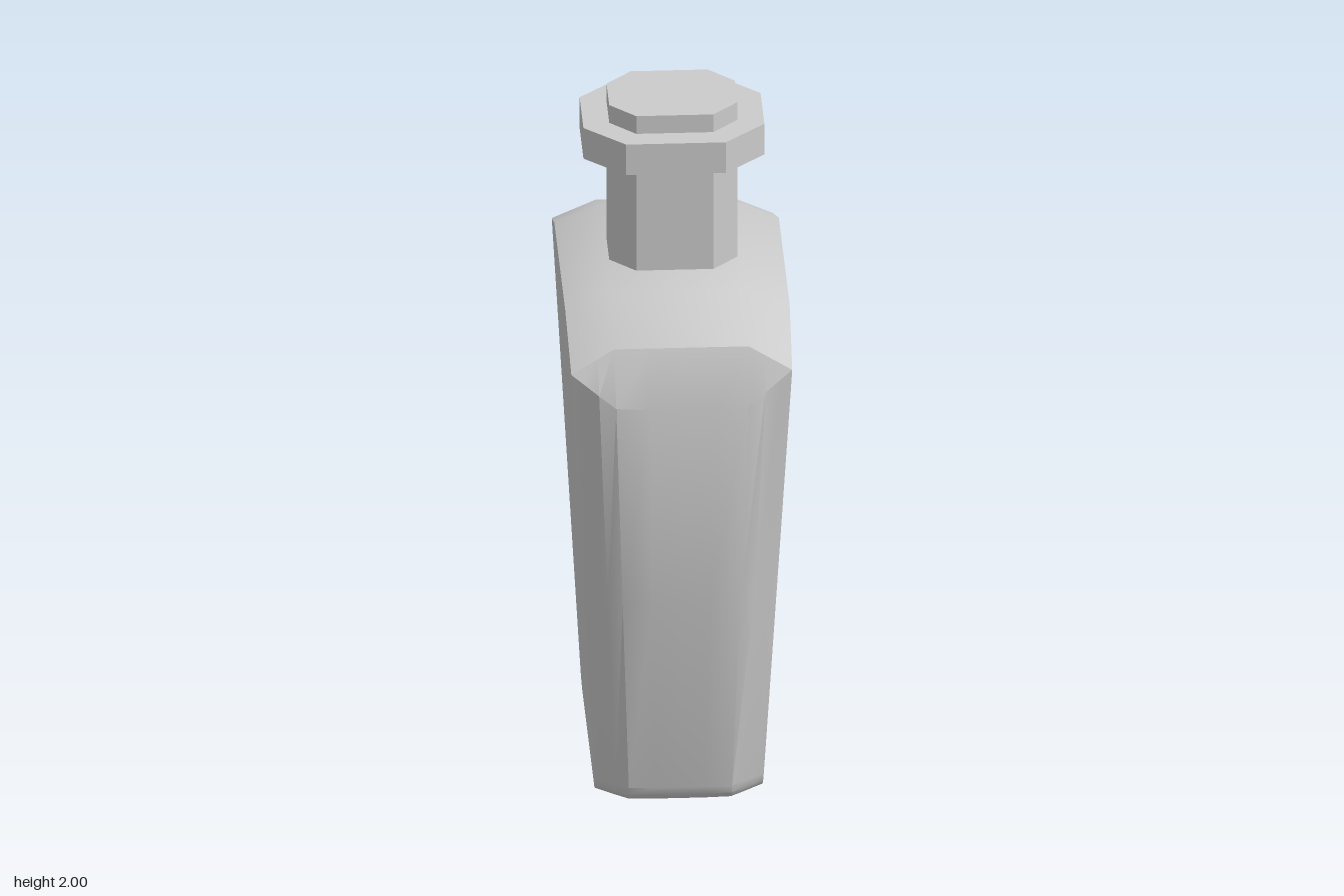
import * as THREE from 'three';
import { toCreasedNormals } from 'three/addons/utils/BufferGeometryUtils.js';

const material = new THREE.MeshStandardMaterial({ color: 0xcccccc });

// Half of an end's cross-section: share of the half width, and how far it bulges there
const SPREAD = [1, 0.9, 0.76, 0.61, 0.3, 0];
const BULGE = [0, 0.25, 0.6, 0.95, 1, 1];

// Full loop around the body; pointAt(spread, bulge) gives [x, y, z] on the +x, +z quarter
function ring(pointAt) {
  const half = SPREAD.map((s, i) => pointAt(s, BULGE[i]));
  const other = half.slice(0, -1).reverse().map(([x, y, z]) => [-x, y, z]);
  const end = [...half, ...other];
  return [...end, ...end.map(([x, y, z]) => [-x, y, -z])];
}

function bodyGeometry() {
  const pos = [];
  const tri = (a, b, c) => pos.push(...a, ...b, ...c);
  const quad = (a, b, c, d) => { tri(a, b, c); tri(a, c, d); };

  // Tapered walls: the ends are rounded under at the base
  const wall = (y, bulge, tuck) => {
    const t = y / 1.375;
    return [s => s * (0.235 + 0.075 * t), 0.36 + 0.15 * t - tuck + (0.08 - 0.03 * t) * bulge];
  };
  const level = (y, tuck) => ring((s, b) => {
    const [x, z] = wall(y, b, tuck);
    return [x(s), y, z];
  });
  const rings = [level(0, 0.04), level(0.012, 0.018), level(0.03, 0.005), level(0.055, 0), level(0.65, 0)];

  // Lower and upper borders of the sloping facet over each end
  rings.push(ring((s, b) => {
    const y = 1.375 - 0.095 * b;
    const [x, z] = wall(y, b, 0);
    return [x(s), y, z];
  }));
  rings.push(ring(s => {
    const k = Math.min(1, (1 - s) / 0.39);
    return [0.31 * s, 1.375 + 0.065 * k, 0.51 - 0.024 * k];
  }));

  const n = rings[0].length;
  for (let i = 0; i < n; i++) {
    const j = (i + 1) % n;
    tri([0, 0, 0], rings[0][i], rings[0][j]);
    for (let r = 0; r < rings.length - 1; r++) {
      quad(rings[r][j], rings[r][i], rings[r + 1][i], rings[r + 1][j]);
    }
  }

  // Shoulder: bevelled plateau sloping down to both ends
  const row = (outer, inner) => [outer, inner, [-inner[0], inner[1], inner[2]], [-outer[0], outer[1], outer[2]]];
  const back = r => r.map(([x, y, z]) => [x, y, -z]);
  const low = row([0.31, 1.375, 0.51], [0.189, 1.44, 0.486]);
  const high = row([0.315, 1.47, 0.28], [0.19, 1.52, 0.29]);
  const rows = [low, high, back(high), back(low)];
  for (let i = 0; i < 3; i++) {
    for (let j = 0; j < 3; j++) quad(rows[i][j], rows[i + 1][j], rows[i + 1][j + 1], rows[i][j + 1]);
  }
  // Upper part of the two broad faces
  quad(rows[3][0], rows[2][0], rows[1][0], rows[0][0]);
  quad(rows[0][3], rows[1][3], rows[2][3], rows[3][3]);

  const geo = new THREE.BufferGeometry();
  geo.setAttribute('position', new THREE.Float32BufferAttribute(pos, 3));
  return toCreasedNormals(geo, 0.6);
}

// Upright eight-sided block with corners (a, b) and (c, d) mirrored all round
function octagon(a, b, c, d, y0, y1) {
  const corners = [[a, b], [c, d], [-c, d], [-a, b], [-a, -b], [-c, -d], [c, -d], [a, -b]];
  const shape = new THREE.Shape(corners.map(([x, y]) => new THREE.Vector2(x, y)));
  const geo = new THREE.ExtrudeGeometry(shape, { depth: y1 - y0, bevelEnabled: false });
  return geo.rotateX(-Math.PI / 2).translate(0, y0, 0);
}

export function createModel() {
  const bottle = new THREE.Group();
  bottle.name = 'bottle';
  const add = (name, geo) => {
    const mesh = new THREE.Mesh(geo, material);
    mesh.name = name;
    bottle.add(mesh);
  };
  add('body', bodyGeometry());
  add('neck', octagon(0.18, 0.07, 0.108, 0.146, 1.5, 2));
  add('collar', octagon(0.254, 0.1, 0.14, 0.214, 1.85, 1.945));
  // The bottle stands turned on its base
  bottle.rotation.y = -0.473;

  const model = new THREE.Group();
  model.name = 'turnedBottle';
  model.add(bottle);
  return model;
}
